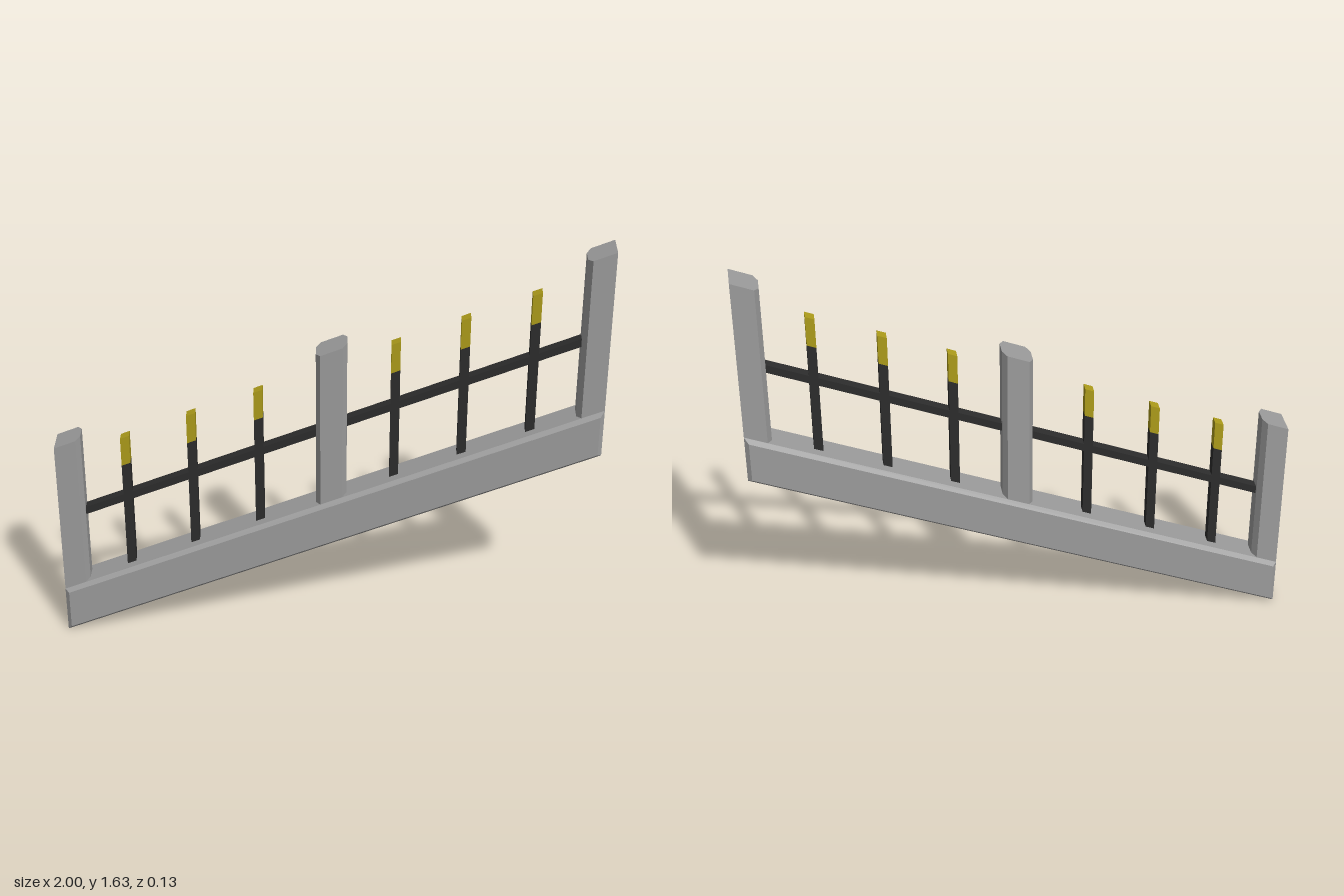
import * as THREE from 'three';

const SLOPE = 0.408;
const BASE_TOP = 0.597; // heights are given at x = 0, before the slope is applied

const stone = new THREE.MeshStandardMaterial({ color: 0x9c9c9c });
stone.name = 'stone grey';
const iron = new THREE.MeshStandardMaterial({ color: 0x2d2d2d });
iron.name = 'dark iron';
const gold = new THREE.MeshStandardMaterial({ color: 0xad9c1a });
gold.name = 'gold';

// Slides every vertex up along x so the fence climbs while uprights stay vertical
function slope(geometry) {
  const g = geometry.index ? geometry.toNonIndexed() : geometry;
  const p = g.attributes.position;
  for (let i = 0; i < p.count; i++) p.setY(i, p.getY(i) + SLOPE * p.getX(i));
  g.computeVertexNormals();
  return g;
}

function part(name, geometry, material) {
  const mesh = new THREE.Mesh(slope(geometry), material);
  mesh.name = name;
  return mesh;
}

function box(x0, x1, y0, y1, halfZ) {
  return new THREE.BoxGeometry(x1 - x0, y1 - y0, halfZ * 2)
    .translate((x0 + x1) / 2, (y0 + y1) / 2, 0);
}

const shapeOf = (points) => new THREE.Shape(points.map(([x, y]) => new THREE.Vector2(x, y)));

// Upright post whose left and right corners can be cut
function post(x0, x1, cutLeft, cutRight) {
  const h = 0.051, cx = 0.016, cz = 0.025;
  const right = cutRight
    ? [[x1 - cx, -h], [x1, -h + cz], [x1, h - cz], [x1 - cx, h]] : [[x1, -h], [x1, h]];
  const left = cutLeft
    ? [[x0 + cx, h], [x0, h - cz], [x0, -h + cz], [x0 + cx, -h]] : [[x0, h], [x0, -h]];
  return new THREE.ExtrudeGeometry(shapeOf([...right, ...left]), { depth: 1.227 - BASE_TOP, bevelEnabled: false })
    .rotateX(-Math.PI / 2).translate(0, BASE_TOP, 0);
}

export function createModel() {
  const fence = new THREE.Group();
  fence.name = 'slopedFence';

  // Base wall with chamfered front and back rims
  const c = 0.015, b = 0.408;
  const face = shapeOf([[-1 + c, b + c], [1 - c, b + c], [1 - c, BASE_TOP - c], [-1 + c, BASE_TOP - c]]);
  const base = new THREE.ExtrudeGeometry(face, {
    depth: 0.104, bevelEnabled: true, bevelSegments: 1, bevelSize: c, bevelThickness: c,
  }).translate(0, 0, -0.052);
  fence.add(part('baseWall', base, stone));

  // Posts
  fence.add(part('rightPost', post(-1, -0.904, false, true), stone));
  fence.add(part('middlePost', post(-0.04, 0.072, true, true), stone));
  fence.add(part('leftPost', post(0.902, 1, true, false), stone));

  // Rails between the posts
  fence.add(part('rightRail', box(-0.904, -0.04, 0.879, 0.911, 0.018), iron));
  fence.add(part('leftRail', box(0.072, 0.902, 0.879, 0.911, 0.018), iron));

  // Pickets with gold tips
  for (const x of [-0.743, -0.497, -0.25, 0.246, 0.492, 0.738]) {
    const w = 0.0165;
    fence.add(part('picket', box(x - w, x + w, BASE_TOP, 1.037, 0.018), iron));
    fence.add(part('picketTip', box(x - w, x + w, 1.037, 1.153, 0.018), gold));
  }
  return fence;
}
